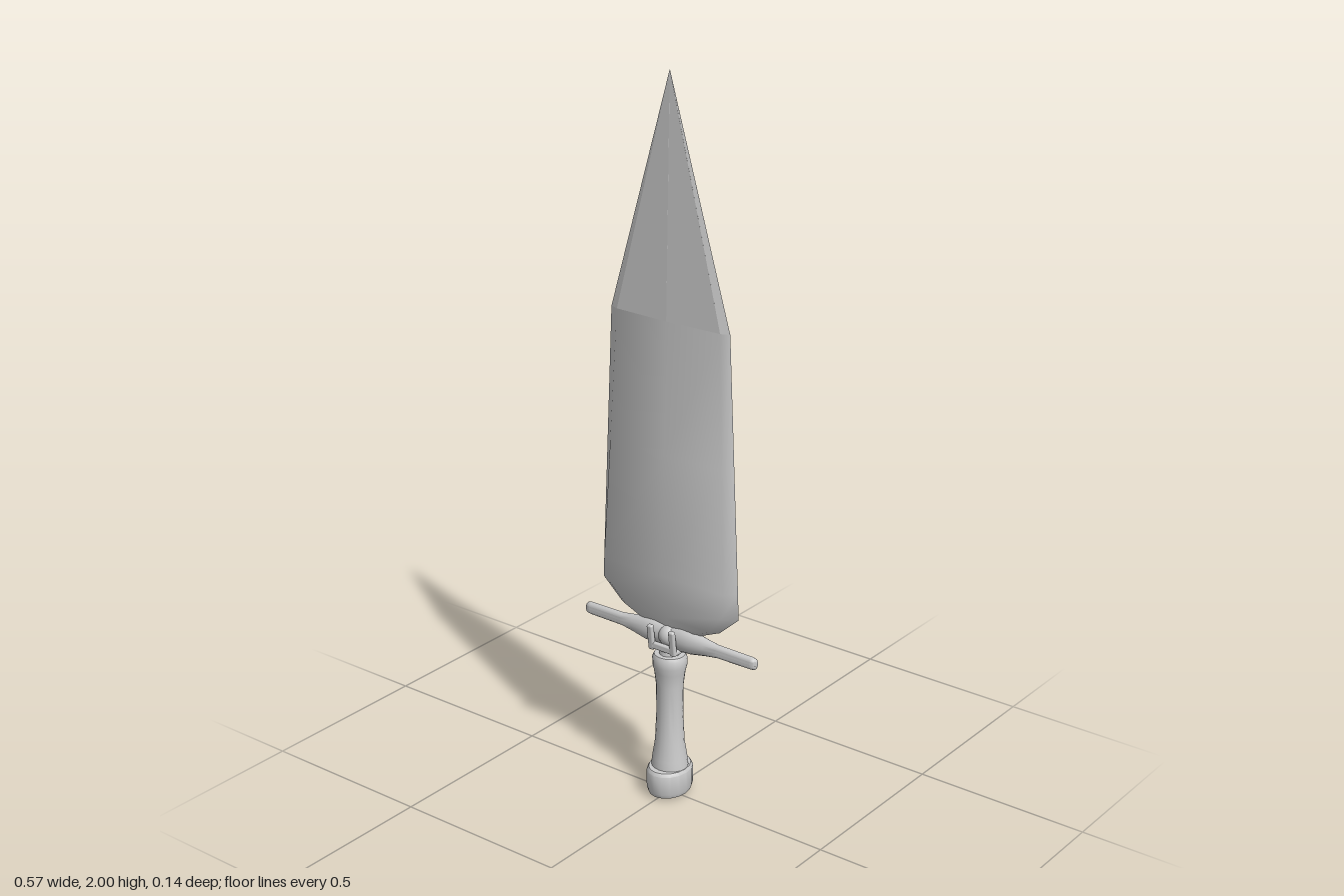
import * as THREE from 'three';
import { toCreasedNormals } from 'three/addons/utils/BufferGeometryUtils.js';
import { RoundedBoxGeometry } from 'three/addons/geometries/RoundedBoxGeometry.js';

const grey = new THREE.MeshStandardMaterial({ color: 0xcccccc });

function add(parent, name, geometry, x = 0, y = 0, z = 0) {
  const mesh = new THREE.Mesh(geometry, grey);
  mesh.name = name;
  mesh.position.set(x, y, z);
  parent.add(mesh);
  return mesh;
}

// Bevelled blade section: [height, edge half width, bevel half width, bevel depth, ridge depth]
function bladeRing([y, w, b, zb, zr]) {
  return [[w, 0], [b, zb], [0, zr], [-b, zb], [-w, 0], [-b, -zb], [0, -zr], [b, -zb]].map(([x, z]) => [x, y, z]);
}

// Skin a stack of sections and close both ends
function loft(sections, crease) {
  const rings = sections.map(bladeRing);
  const n = rings[0].length;
  const index = [];
  rings.slice(1).forEach((_, r) => {
    for (let i = 0; i < n; i++) {
      const a = r * n + i, b = r * n + (i + 1) % n;
      index.push(a, a + n, b, b, a + n, b + n);
    }
  });
  const top = (rings.length - 1) * n;
  for (let i = 1; i < n - 1; i++) {
    index.push(0, i, i + 1);
    index.push(top, top + i + 1, top + i);
  }
  const g = new THREE.BufferGeometry();
  g.setAttribute('position', new THREE.Float32BufferAttribute(rings.flat(2), 3));
  g.setIndex(index);
  return toCreasedNormals(g, crease);
}

function lathe(profile, sides, crease = 0.6) {
  const pts = profile.map(([r, y]) => new THREE.Vector2(r, y));
  return toCreasedNormals(new THREE.LatheGeometry(pts, sides), crease);
}

export function createModel() {
  const model = new THREE.Group();
  model.name = 'sword';

  // Blade: broad smooth body, then a ridged point
  const shoulder = [1.36, 0.19, 0.165, 0.009, 0.015];
  const blade = new THREE.Group();
  blade.name = 'blade';
  model.add(blade);
  add(blade, 'bladeBody', loft([
    [0.497, 0.09, 0.07, 0.005, 0.006],
    [0.53, 0.165, 0.14, 0.013, 0.014],
    [0.585, 0.226, 0.185, 0.023, 0.024],
    [0.66, 0.223, 0.198, 0.031, 0.034],
    [1.0, 0.207, 0.182, 0.02, 0.024],
    shoulder,
  ], 1.05));
  add(blade, 'bladePoint', loft([shoulder, [2, 0.0005, 0.0004, 0.0002, 0.0004]], 0.03));

  // Grip: waisted, a little wider than deep at the top
  add(model, 'grip', lathe([
    [0, 0.08], [0.052, 0.08], [0.049, 0.11], [0.041, 0.16], [0.037, 0.25],
    [0.038, 0.33], [0.043, 0.37], [0.048, 0.39], [0.048, 0.412], [0.043, 0.422], [0, 0.424],
  ], 20)).scale.z = 0.95;

  // Pommel: oval cap, deeper than wide
  add(model, 'pommel', lathe([
    [0, 0], [0.04, 0.002], [0.053, 0.009], [0.058, 0.022], [0.058, 0.076], [0.053, 0.085], [0, 0.087],
  ], 16)).scale.z = 1.22;

  // Guard: neck and hub under the blade
  const guard = new THREE.Group();
  guard.name = 'guard';
  model.add(guard);
  add(guard, 'neck', new THREE.CylinderGeometry(0.022, 0.03, 0.05, 16), 0, 0.44, 0);
  add(guard, 'hub', new THREE.SphereGeometry(0.031, 16, 12), 0, 0.475, 0);
  add(guard, 'bladeTang', new RoundedBoxGeometry(0.14, 0.04, 0.012, 2, 0.004), 0, 0.503, 0);

  for (const side of [1, -1]) {
    // Crossbar arm, swelling near the hub and flattened front to back
    const arm = add(guard, side > 0 ? 'leftArm' : 'rightArm', lathe([
      [0, 0], [0.03, 0.01], [0.036, 0.045], [0.034, 0.075], [0.025, 0.12],
      [0.019, 0.16], [0.018, 0.27], [0.016, 0.281], [0.011, 0.285], [0, 0.285],
    ], 14, 0.9), 0, 0.475, 0);
    arm.rotation.z = -side * Math.PI / 2;
    arm.scale.z = 0.68;

    // Clasp: prongs rising in front of and behind the hub, joined by a strap below
    for (const face of [1, -1]) {
      const prong = add(guard, 'claspProng', new RoundedBoxGeometry(0.018, 0.072, 0.014, 2, 0.005), side * 0.036, 0.474, face * 0.035);
      prong.rotation.x = face * 0.12;
    }
    add(guard, 'claspStrap', new RoundedBoxGeometry(0.018, 0.014, 0.076, 2, 0.005), side * 0.036, 0.442, 0);
  }
  // Bridge between the prongs on each face
  for (const face of [1, -1]) {
    add(guard, 'claspBridge', new RoundedBoxGeometry(0.07, 0.02, 0.014, 2, 0.005), 0, 0.449, face * 0.031);
  }
  return model;
}
